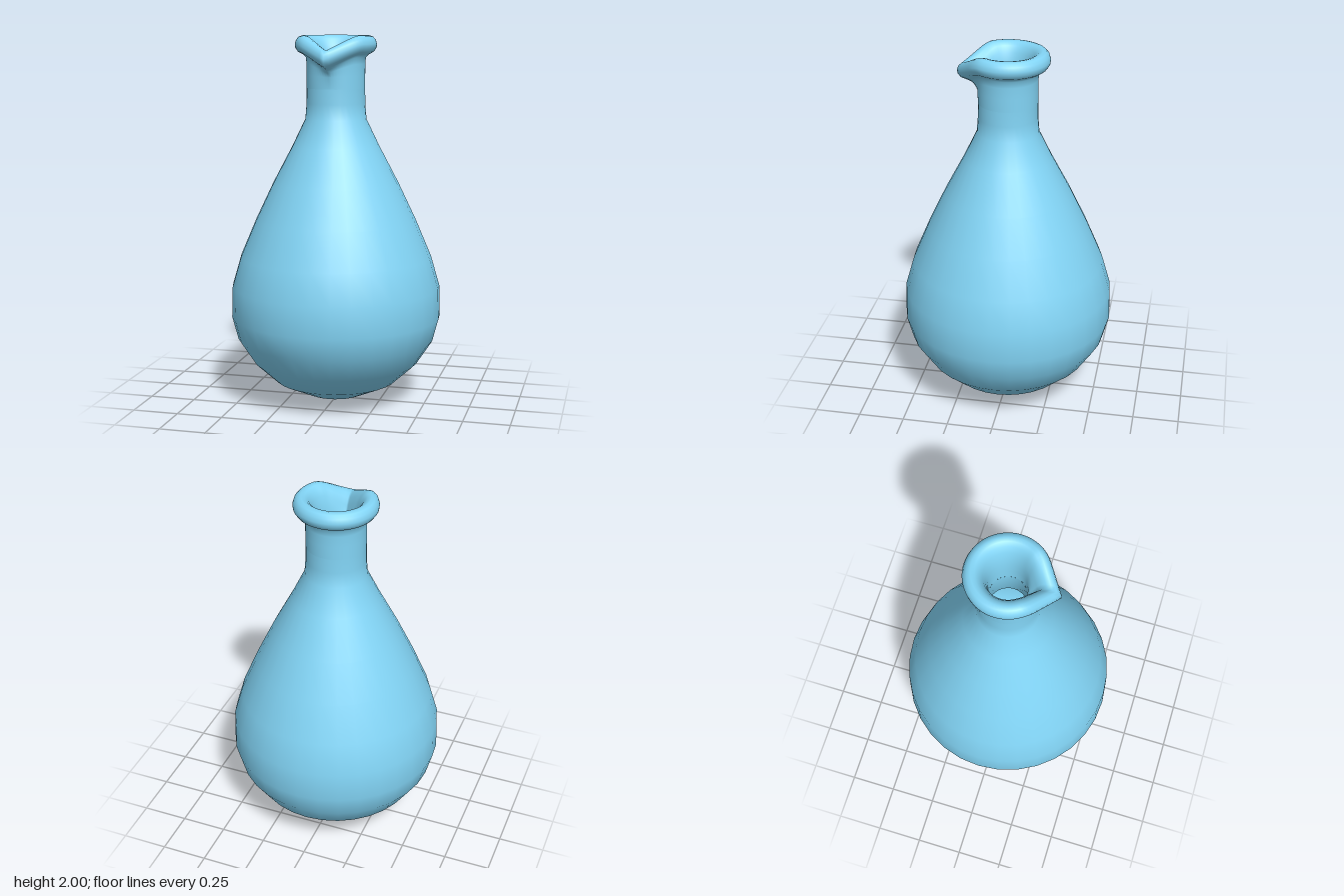
import * as THREE from 'three';
import { mergeVertices } from 'three/addons/utils/BufferGeometryUtils.js';

const material = new THREE.MeshStandardMaterial({ color: 0x82d4f5, side: THREE.DoubleSide });

// Turns a profile of [radius, height] pairs, then bends its vertices with an optional rule
function turned(name, profile, segments, rule) {
  const points = profile.map(([r, y]) => new THREE.Vector2(r, y));
  let geometry = new THREE.LatheGeometry(points, segments);
  const position = geometry.attributes.position;
  const v = new THREE.Vector3();
  if (rule) {
    for (let i = 0; i < position.count; i++) {
      rule(v.fromBufferAttribute(position, i));
      position.setXYZ(i, v.x, v.y, v.z);
    }
  }
  // Weld the seam so the shading runs smoothly all the way round
  geometry.deleteAttribute('uv');
  geometry.deleteAttribute('normal');
  geometry = mergeVertices(geometry, 1e-5);
  geometry.computeVertexNormals();
  const mesh = new THREE.Mesh(geometry, material);
  mesh.name = name;
  return mesh;
}

// Draws the front of the lip out to a point and lets it droop
function pinchSpout(v) {
  const weight = THREE.MathUtils.smoothstep(v.y, 1.76, 1.92);
  const angle = Math.abs(Math.atan2(v.x, v.z));
  const tangent = 0.62;
  const stretch = angle < tangent ? 1 / Math.cos(tangent - angle) : 1;
  const scale = 1 + (stretch - 1) * weight;
  v.x *= scale;
  v.z *= scale;
  v.y -= 0.075 * weight * Math.pow(Math.max(0, 1 - angle / 0.95), 1.3);
}

export function createModel() {
  const group = new THREE.Group();
  group.name = 'flask';

  // Pear-shaped outer wall
  const outer = [
    [0, 0], [0.16, 0.035], [0.335, 0.115], [0.455, 0.225], [0.54, 0.355],
    [0.573, 0.48], [0.568, 0.645], [0.52, 0.81], [0.435, 1.01], [0.34, 1.21],
    [0.235, 1.41], [0.165, 1.555], [0.158, 1.64], [0.157, 1.72],
  ];
  group.add(turned('body', outer, 32));

  // Inner wall, running down from the neck to the floor
  const inner = [
    [0.095, 1.72], [0.1, 1.56], [0.19, 1.41], [0.3, 1.21], [0.4, 1.01],
    [0.49, 0.81], [0.54, 0.645], [0.545, 0.48], [0.51, 0.365], [0.43, 0.245],
    [0.315, 0.135], [0.15, 0.055], [0, 0.02],
  ];
  group.add(turned('innerWall', inner, 32));

  // Neck, rolled lip and pouring spout
  const lip = [
    [0.157, 1.72], [0.157, 1.79], [0.157, 1.85], [0.161, 1.885], [0.177, 1.9],
    [0.203, 1.914], [0.217, 1.935], [0.219, 1.955], [0.212, 1.978],
    [0.197, 1.994], [0.178, 2], [0.158, 1.995], [0.138, 1.978],
    [0.121, 1.945], [0.108, 1.9], [0.1, 1.85], [0.096, 1.79], [0.095, 1.72],
  ];
  group.add(turned('neckAndSpout', lip, 64, pinchSpout));

  return group;
}
